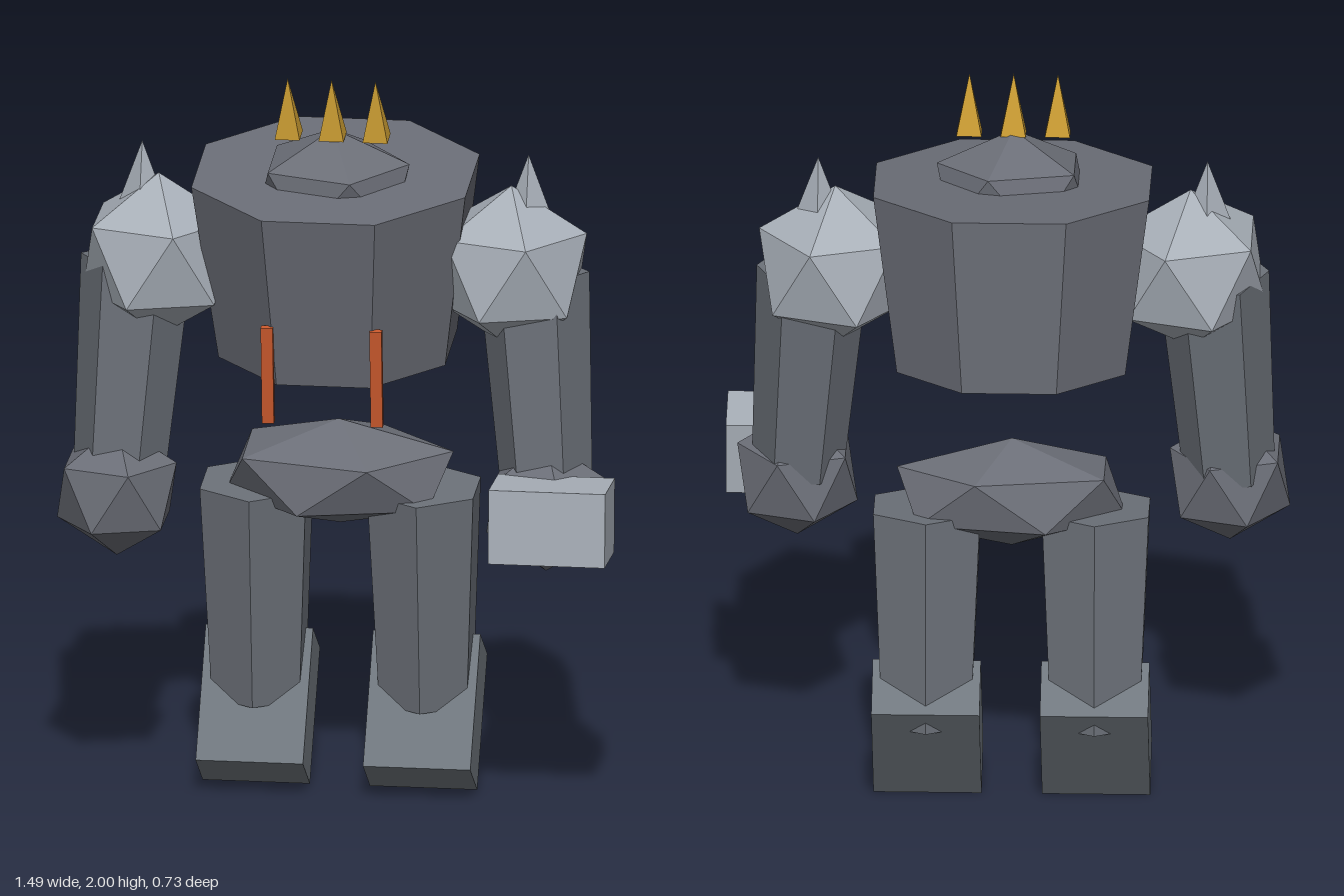
import * as THREE from 'three';

const material = (name, color) => {
  const m = new THREE.MeshStandardMaterial({ color, flatShading: true });
  m.name = name;
  return m;
};

// Faceted 20-sided stone standing on one of its corners
function stoneGeometry(sx, sy, sz) {
  const verts = [0, 1, 0, 0, -1, 0];
  const faces = [];
  const h = 1 / Math.sqrt(5), r = 2 * h;
  for (const [y, shift] of [[h, 0], [-h, 0.5]]) {
    for (let i = 0; i < 5; i++) {
      const a = (i + shift) * Math.PI * 0.4;
      verts.push(r * Math.cos(a), y, r * Math.sin(a));
    }
  }
  for (let i = 0; i < 5; i++) {
    const j = (i + 1) % 5;
    const u = 2 + i, u2 = 2 + j, l = 7 + i, l2 = 7 + j;
    faces.push(0, u2, u, u, u2, l, l, u2, l2, 1, l, l2);
  }
  return new THREE.PolyhedronGeometry(verts, faces, 1, 0).scale(sx, sy, sz);
}

export function createModel() {
  const model = new THREE.Group();
  const stone = material('dark stone', 0x6b6e77);
  const limbStone = material('limb stone', 0x6b7078);
  const footStone = material('foot stone', 0x70777e);
  const paleStone = material('pale stone', 0xa8afb8);
  const gold = material('gold', 0xc89a32);
  const orange = material('orange', 0xcb5a2d);
  const midX = -0.02;
  const lean = 0.1;

  function add(name, geometry, mat, x, y, z, rx = 0) {
    const mesh = new THREE.Mesh(geometry, mat);
    mesh.name = name;
    mesh.position.set(x, y, z);
    mesh.rotation.x = rx;
    model.add(mesh);
    return mesh;
  }

  // Six-sided tapered limb between two points
  function limb(name, top, bottom, rTop, rBottom, turn, mat) {
    const a = new THREE.Vector3(...top), b = new THREE.Vector3(...bottom);
    const axis = a.clone().sub(b);
    const geo = new THREE.CylinderGeometry(rTop, rBottom, axis.length(), 6).rotateY(turn);
    const c = a.add(b).multiplyScalar(0.5);
    const mesh = add(name, geo, mat, c.x, c.y, c.z);
    mesh.quaternion.setFromUnitVectors(new THREE.Vector3(0, 1, 0), axis.normalize());
  }

  // Body
  add('torso', new THREE.CylinderGeometry(0.395, 0.327, 0.493, 8).rotateY(Math.PI / 8),
    stone, midX, 1.48, -0.025, lean);
  add('head', stoneGeometry(0.226, 0.17, 0.185), stone, midX, 1.686, 0.028, lean);
  add('pelvis', stoneGeometry(0.34, 0.148, 0.2), stone, midX, 0.872, -0.09, lean);

  // Crown of three spikes
  for (let i = -1; i <= 1; i++) {
    add('crownSpike', new THREE.ConeGeometry(0.047, 0.165, 4).rotateY(Math.PI / 4),
      gold, midX + i * 0.117, 1.919, 0.07, 0.14);
  }

  // Paired parts
  for (const s of [-1, 1]) {
    const side = s > 0 ? 'left' : 'right';
    const at = (d) => midX + s * d;
    add(side + 'Shoulder', stoneGeometry(0.225, 0.225, 0.225), paleStone, at(0.47), 1.48, 0.007);
    add(side + 'ShoulderSpike', new THREE.ConeGeometry(0.066, 0.18, 4), paleStone, at(0.515), 1.7, 0);
    limb(side + 'Arm', [at(0.53), 1.465, 0.005], [at(0.57), 0.88, 0.053], 0.148, 0.122, Math.PI / 6, limbStone);
    add(side + 'Hand', stoneGeometry(0.178, 0.18, 0.178), stone, at(0.572), 0.848, 0.082);
    limb(side + 'Leg', [at(0.223), 0.834, -0.1], [at(0.223), 0.24, -0.147], 0.163, 0.135, 0, limbStone);
    add(side + 'Foot', new THREE.BoxGeometry(0.286, 0.174, 0.377), footStone, at(0.223), 0.208, -0.125, 0.98);
    add(side + 'ChestBar', new THREE.BoxGeometry(0.032, 0.272, 0.02), orange, at(0.145), 1.24, 0.277, lean);
  }

  // Block held by the left hand
  add('heldBlock', new THREE.BoxGeometry(0.311, 0.2, 0.2), paleStone, 0.588, 0.857, 0.253, -0.07);

  return model;
}
